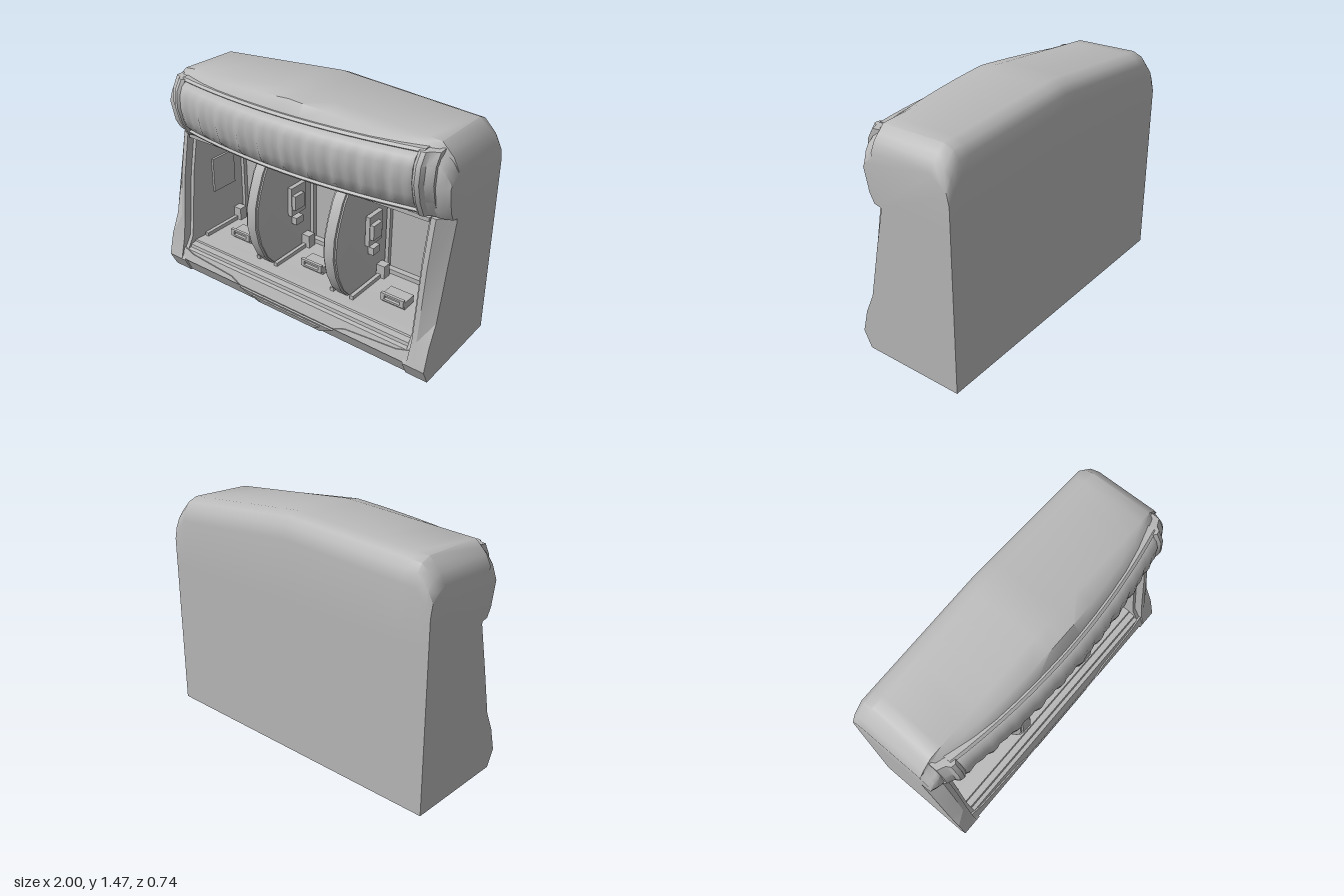
import * as THREE from 'three';
import { toCreasedNormals } from 'three/addons/utils/BufferGeometryUtils.js';

const grey = new THREE.MeshStandardMaterial({ color: 0xb9b9b9 });
grey.name = 'plain grey';

// Skin closed [z, y] rings (counter-clockwise) placed at rising x stations.
function loft(stations, crease = 0.6) {
  const pos = [];
  const put = (x, p) => pos.push(x, p[1], p[0]);
  for (let s = 0; s < stations.length - 1; s++) {
    const a = stations[s], b = stations[s + 1], n = a.ring.length;
    for (let i = 0; i < n; i++) {
      const j = (i + 1) % n;
      put(a.x, a.ring[i]); put(b.x, b.ring[i]); put(b.x, b.ring[j]);
      put(a.x, a.ring[i]); put(b.x, b.ring[j]); put(a.x, a.ring[j]);
    }
  }
  for (const [st, order] of [[stations[0], [0, 1, 2]], [stations.at(-1), [0, 2, 1]]]) {
    const flat = st.ring.map(p => new THREE.Vector2(p[0], p[1]));
    for (const t of THREE.ShapeUtils.triangulateShape(flat, [])) for (const k of order) put(st.x, st.ring[t[k]]);
  }
  const g = new THREE.BufferGeometry();
  g.setAttribute('position', new THREE.Float32BufferAttribute(pos, 3));
  return toCreasedNormals(g, crease);
}
const range = (a, b, n) => Array.from({ length: n + 1 }, (_, i) => a + (b - a) * i / n);

// Height of the roof and forward reach of the hood across the width.
function roof(x) {
  const u = Math.abs(x);
  if (u <= 0.9) return 1.465 - 0.065 * u / 0.9;
  return u <= 0.97 ? 1.4 - (u - 0.9) : 1.33 - (u - 0.97) * 2;
}
function reach(x) {
  const u = Math.min(1, Math.abs(x) / 0.9);
  return 0.225 + 0.095 * (1 - u * u) - Math.max(0, Math.abs(x) - 0.95) * 0.4;
}

export function createModel() {
  const model = new THREE.Group();
  model.name = 'threeBayCabinet';
  const add = (name, geometry, parent = model) => {
    const m = new THREE.Mesh(geometry, grey);
    m.name = name;
    parent.add(m);
    return m;
  };
  const box = (name, w, h, d, x, y, z, parent) => {
    const m = add(name, new THREE.BoxGeometry(w, h, d), parent);
    m.position.set(x, y, z);
    return m;
  };

  // Rounded roof and overhanging hood
  const half = [0.1, 0.25, 0.4, 0.55, 0.7, 0.82, 0.9, 0.94, 0.97, 1];
  const xs = [...half.map(v => -v).reverse(), 0, ...half];
  add('roofAndHood', loft(xs.map(x => {
    const t = roof(x), r = reach(x), lip = Math.min(1.37, t - 0.05);
    return { x, ring: [[-0.37, 0.95], [0.1, 0.95], [0.1, 0.975], [r - 0.06, 0.985], [r - 0.03, 1.04],
      [r, 1.18], [r - 0.01, Math.min(1.3, lip - 0.02)], [r - 0.03, lip], [r - 0.075, t - 0.022],
      [0.14, t], [-0.26, t], [-0.32, t - 0.025], [-0.355, t - 0.07], [-0.37, t - 0.14]] };
  }), 0.75));

  // Rippled rolled shade across the hood
  add('rolledShade', loft(range(-0.82, 0.82, 72).map((x, i) => {
    const r = reach(x);
    const w = 0.006 * Math.sin(i * 1.7) + 0.005 * Math.sin(i * 0.83 + 1);
    return { x, ring: [[r - 0.08, 1.03], [r - 0.025, 1.03], [r + 0.008 + w, 1.07], [r + 0.025 + w, 1.12],
      [r + 0.043 + w * 0.7, 1.2], [r + 0.04 + w * 0.4, 1.28], [r + 0.02, 1.33], [r - 0.015, 1.355], [r - 0.08, 1.355]] };
  }), 0.8));

  // Trim rails above and below the shade
  const rail = (name, y, dz, h) => add(name, loft(range(-0.85, 0.85, 16).map(x => {
    const z = reach(x) + dz;
    return { x, ring: [[z - 0.08, y], [z - 0.008, y], [z, y + h * 0.4], [z - 0.015, y + h], [z - 0.08, y + h]] };
  })));
  rail('upperShadeRail', 1.35, -0.005, 0.022);
  rail('lowerShadeRail', 1.005, -0.015, 0.03);

  // Curved end caps of the shade
  const cap = d => [[0.12, 0.99], [0.185 + d, 0.99], [0.235 + d, 1.09], [0.265 + d, 1.2],
    [0.255 + d, 1.3], [0.215 + d, 1.365], [0.14, 1.37]];
  for (const s of [-1, 1]) {
    const st = [[0.82, 0.015], [0.84, 0.03], [0.865, 0.025], [0.88, 0], [0.925, -0.02]].map(([x, d]) => ({ x: s * x, ring: cap(d) }));
    add(s > 0 ? 'leftShadeCap' : 'rightShadeCap', loft(s > 0 ? st : st.reverse()));
  }

  // Side walls with angled pillar fronts
  const outer = [[-0.37, 0], [0.28, 0], [0.33, 0.1], [0.29, 0.25], [0.23, 0.38], [0.16, 0.7], [0.095, 0.98], [-0.37, 0.98]];
  const inner = [[-0.37, 0], [0.28, 0], [0.33, 0.1], [0.29, 0.25], [0.27, 0.4], [0.235, 0.7], [0.18, 0.98], [-0.37, 0.98]];
  const jamb = inner.map(([z, y]) => [z > 0 && y > 0.2 ? z - 0.05 : z, y]);
  for (const s of [-1, 1]) {
    const st = [{ x: s * 0.86, ring: jamb }, { x: s * 0.885, ring: jamb }, { x: s * 0.89, ring: inner },
      { x: s * 0.92, ring: inner }, { x: s, ring: outer }];
    add(s > 0 ? 'leftSideWall' : 'rightSideWall', loft(s > 0 ? st : st.reverse(), 0.45));
  }

  // Back wall, base and header beam
  box('backWall', 1.8, 0.86, 0.08, 0, 0.54, -0.33);
  const base = [[-0.37, 0], [0.27, 0], [0.315, 0.1], [0.29, 0.17], [0.265, 0.175], [0.26, 0.195],
    [0.22, 0.2], [0.215, 0.21], [0.13, 0.205], [-0.37, 0.2]];
  add('base', loft([{ x: -0.94, ring: base }, { x: 0.94, ring: base }], 0.3));
  box('headerBeam', 1.76, 0.025, 0.1, 0, 0.962, 0.13);

  // Bow-fronted dividers with a raised front band
  const bow = [[0.1, 0.19], [0.18, 0.28], [0.235, 0.4], [0.262, 0.53], [0.255, 0.66], [0.225, 0.76], [0.18, 0.87], [0.12, 0.96]];
  const slab = d => [[-0.31, 0.19], ...bow.map(([z, y]) => [z + d, y]), [-0.31, 0.96]];
  for (const x of [-0.3, 0.295]) {
    const st = [[-0.05, -0.025], [-0.046, -0.012], [-0.036, -0.012], [-0.033, 0], [0.033, 0],
      [0.036, -0.012], [0.046, -0.012], [0.05, -0.025]];
    add('divider', loft(st.map(([dx, d]) => ({ x: x + dx, ring: slab(d) })), 0.5));
  }

  // Fittings repeated in each bay
  for (const [cx, w] of [[-0.605, 0.51], [0, 0.49], [0.605, 0.51]]) {
    const bay = new THREE.Group();
    bay.name = 'bayFittings';
    bay.position.x = cx;
    model.add(bay);
    for (const s of [-1, 1]) {
      const e = s * w / 2;
      box('backFrameSide', 0.025, 0.7, 0.03, e - s * 0.015, 0.56, -0.275, bay);
      box('upperCorner', 0.05, 0.07, 0.05, e - s * 0.025, 0.87, -0.26, bay);
      box('lowerCorner', 0.06, 0.09, 0.06, e - s * 0.03, 0.25, -0.2, bay);
      box('floorRail', 0.025, 0.03, 0.4, e - s * 0.02, 0.215, -0.07, bay);
    }
    box('backFrameTop', w, 0.03, 0.04, 0, 0.91, -0.27, bay);
    box('ceilingRail', w * 0.8, 0.025, 0.05, 0, 0.935, 0.02, bay);
    box('backFrameBottom', w, 0.03, 0.04, 0, 0.22, -0.27, bay);
    // Floor latch with a slotted face
    box('latchBlock', 0.16, 0.05, 0.1, 0, 0.235, -0.02, bay);
    const ring = new THREE.Shape([[-0.08, -0.025], [0.08, -0.025], [0.08, 0.025], [-0.08, 0.025]].map(p => new THREE.Vector2(...p)));
    ring.holes.push(new THREE.Path([[-0.055, -0.012], [-0.055, 0.012], [0.055, 0.012], [0.055, -0.012]].map(p => new THREE.Vector2(...p))));
    const latch = add('latchFrame', new THREE.ExtrudeGeometry(ring, { depth: 0.02, bevelEnabled: false }), bay);
    latch.position.set(0, 0.255, 0.03);
    // Wall-mounted bracket
    const s = cx < -0.1 ? 1 : -1, e = s * w / 2;
    box('bracketPlate', 0.03, 0.2, 0.14, e - s * 0.015, 0.6, -0.1, bay);
    box('bracketBlock', 0.055, 0.1, 0.09, e - s * 0.03, 0.6, -0.08, bay);
    box('bracketFoot', 0.04, 0.05, 0.07, e - s * 0.02, 0.45, -0.1, bay);
  }
  box('outerWallPlate', 0.02, 0.24, 0.2, -0.855, 0.62, -0.08);

  // Faceted trim plates on the front of the base
  const plate = (name, pts, depth, y, z, tilt) => {
    const shape = new THREE.Shape(pts.map(p => new THREE.Vector2(...p)));
    const m = add(name, new THREE.ExtrudeGeometry(shape, { depth, bevelEnabled: false }));
    m.position.set(0, y, z);
    m.rotation.x = tilt;
  };
  plate('centreTrim', [[-0.25, 0], [0.25, 0], [0.37, 0.09], [-0.37, 0.09]], 0.012, 0.008, 0.272, 0.42);
  plate('centreTrimInset', [[-0.21, 0.02], [0.21, 0.02], [0.27, 0.07], [-0.27, 0.07]], 0.02, 0.008, 0.272, 0.42);
  for (const s of [-1, 1]) {
    const pts = [[0.37, 0], [0.88, 0], [0.9, 0.085], [0.8, 0.055], [0.45, 0.03]].map(([x, y]) => [s * x, y]);
    plate(s > 0 ? 'leftTrim' : 'rightTrim', s > 0 ? pts : pts.reverse(), 0.012, 0.1, 0.312, -0.34);
  }
  return model;
}
